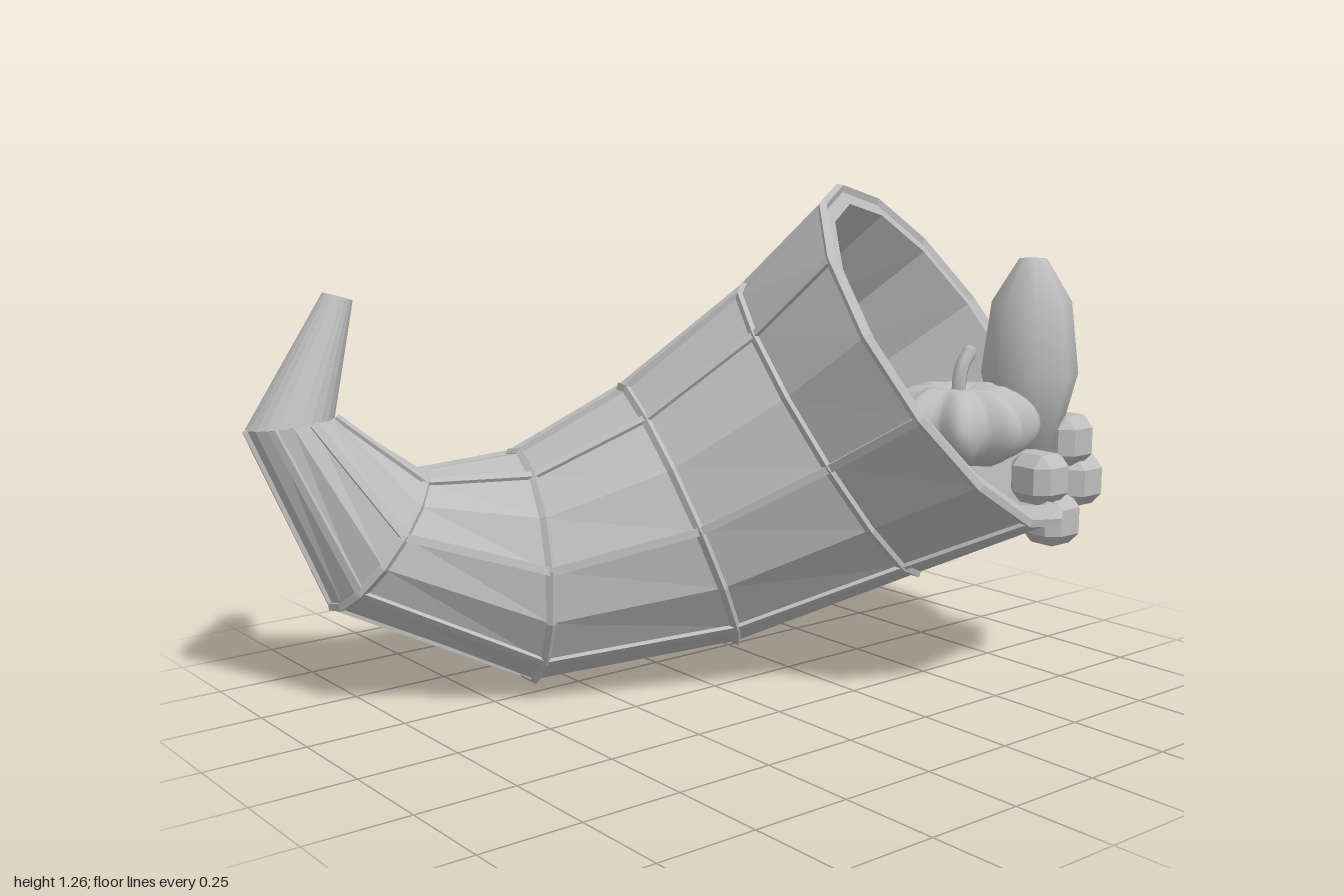
import * as THREE from 'three';
import { ConvexGeometry } from 'three/addons/geometries/ConvexGeometry.js';

const V = (x, y, z) => new THREE.Vector3(x, y, z);
const SIDES = 14;

// Ring frame: centre, axis towards the mouth, and a reference direction carried along the horn
function makeFrames(data) {
  let ref = V(0, 1, 0);
  return data.map(([c, n, r]) => {
    const axis = V(...n).normalize();
    const u = ref.clone().addScaledVector(axis, -ref.dot(axis)).normalize();
    ref = u;
    return { c: V(...c), n: axis, u, v: axis.clone().cross(u), r };
  });
}

const ringPoint = (f, r, j, sides, back = 0) => {
  const a = (j / sides) * Math.PI * 2;
  return f.c.clone().addScaledVector(f.n, -back)
    .addScaledVector(f.u, Math.cos(a) * r).addScaledVector(f.v, Math.sin(a) * r);
};

// Faceted skin through a list of [frame, radius, setback]
function loft(sections, sides = SIDES) {
  const pos = [];
  const put = (...pts) => pts.forEach(p => pos.push(p.x, p.y, p.z));
  for (let i = 0; i + 1 < sections.length; i++) {
    const [f, r, s = 0] = sections[i], [g, q, t = 0] = sections[i + 1];
    for (let j = 0; j < sides; j++) {
      const a = ringPoint(f, r, j, sides, s), b = ringPoint(f, r, j + 1, sides, s);
      const c = ringPoint(g, q, j, sides, t), d = ringPoint(g, q, j + 1, sides, t);
      if (r > 0) put(a, c, b);
      if (q > 0) put(c, d, b);
    }
  }
  const geo = new THREE.BufferGeometry();
  geo.setAttribute('position', new THREE.Float32BufferAttribute(pos, 3));
  geo.computeVertexNormals();
  return geo;
}

function flat(geo) {
  const g = geo.toNonIndexed();
  g.computeVertexNormals();
  return g;
}

export function createModel() {
  const model = new THREE.Group();
  model.name = 'hornOfPlenty';
  const grey = new THREE.MeshStandardMaterial({ color: 0xbdbdbd });
  grey.name = 'plain grey';
  const add = (name, geo, parent = model) => {
    const m = new THREE.Mesh(geo, grey);
    m.name = name;
    parent.add(m);
    return m;
  };

  // Horn rings from mouth to tip
  const F = makeFrames([
    [[0.53, 0.84, 0.28], [0.39, 0.58, 0.715], 0.516],
    [[0.37, 0.63, 0.02], [0.6, 0.54, 0.6], 0.45],
    [[0.037, 0.412, -0.2], [0.83, 0.38, 0.42], 0.377],
    [[-0.35, 0.305, -0.35], [0.95, 0, 0.31], 0.304],
    [[-0.7, 0.41, -0.45], [0.77, -0.6, 0.24], 0.21],
    [[-0.883, 0.705, -0.52], [0.08, -1, 0.08], 0.12],
    [[-0.75, 1.0, -0.515], [-0.3, -0.95, 0], 0.037],
  ]);
  const skin = f => f.r - 0.012;

  add('hornShell', loft(F.slice(0, 6).map(f => [f, skin(f)])));
  add('mouthRim', loft([[F[0], 0.455], [F[0], skin(F[0])]]));
  add('hornInside', loft([[F[2], 0], [F[2], 0.28], [F[1], 0.39], [F[0], 0.455]]));
  add('hornTip', loft([[F[5], 0], [F[5], 0.105], [F[6], 0.037], [F[6], 0]], 24));

  // Hoops around the horn
  const hoops = new THREE.Group();
  hoops.name = 'hoops';
  model.add(hoops);
  F.slice(0, 5).forEach(f => {
    const geo = flat(new THREE.TorusGeometry(skin(f), 0.013, 4, SIDES));
    geo.applyMatrix4(new THREE.Matrix4().makeBasis(f.u, f.v, f.n).setPosition(f.c));
    add('hoop', geo, hoops);
  });

  // Ribs along every second edge
  const ribs = new THREE.Group();
  ribs.name = 'ribs';
  model.add(ribs);
  for (let i = 0; i < 5; i++) {
    for (let j = 0; j < SIDES; j += 2) {
      const a = ringPoint(F[i], skin(F[i]), j, SIDES);
      const b = ringPoint(F[i + 1], skin(F[i + 1]), j, SIDES);
      const out = ringPoint(F[i], 1, j, SIDES).sub(F[i].c);
      const dir = b.clone().sub(a);
      const len = dir.length();
      dir.normalize();
      const side = dir.clone().cross(out).normalize();
      const geo = new THREE.BoxGeometry(0.02, 0.014, len);
      geo.applyMatrix4(new THREE.Matrix4().makeBasis(side, dir.clone().cross(side), dir)
        .setPosition(a.add(b).multiplyScalar(0.5)));
      add('rib', geo, ribs);
    }
  }

  // Pumpkin: sphere with eight lobes and dimpled poles
  const pumpkin = new THREE.Group();
  pumpkin.name = 'pumpkin';
  pumpkin.position.set(0.395, 0.697, 0.447);
  model.add(pumpkin);
  const body = new THREE.SphereGeometry(1, 64, 16);
  const p = body.attributes.position;
  for (let i = 0; i < p.count; i++) {
    const x = p.getX(i), y = p.getY(i), z = p.getZ(i);
    const r = Math.hypot(x, z);
    const lobe = 0.172 + 0.024 * Math.cos(8 * Math.atan2(z, x));
    const dimple = 1 - 0.35 * Math.max(0, 1 - r * 2);
    p.setXYZ(i, x * lobe, y * 0.108 * dimple, z * lobe);
  }
  body.computeVertexNormals();
  add('pumpkinBody', body, pumpkin);
  const stemPath = new THREE.CatmullRomCurve3([
    V(0, 0.05, 0), V(0, 0.11, 0), V(0.012, 0.145, 0), V(0.032, 0.17, 0)]);
  add('pumpkinStem', new THREE.TubeGeometry(stemPath, 8, 0.018, 6), pumpkin);
  const stemEnd = add('pumpkinStemEnd', new THREE.SphereGeometry(0.018, 6, 4), pumpkin);
  stemEnd.position.set(0.032, 0.17, 0);

  // Squash standing in the mouth
  const squash = add('squash', new THREE.LatheGeometry([
    [0, 0.6], [0.075, 0.605], [0.122, 0.79], [0.1, 0.97], [0.035, 1.078], [0, 1.08],
  ].map(([x, y]) => new THREE.Vector2(x, y)), 8));
  squash.position.set(0.7, 0, 0.405);

  // Grapes hanging over the rim: cubes with every edge and corner cut
  const grapes = new THREE.Group();
  grapes.name = 'grapes';
  model.add(grapes);
  const corners = [];
  for (const x of [-1, 1]) for (const y of [-1, 1]) for (const z of [-1, 1]) {
    for (let k = 0; k < 3; k++) {
      const s = [0.034, 0.034, 0.034];
      s[k] = 0.064;
      corners.push(V(x * s[0], y * s[1], z * s[2]));
    }
  }
  const grapeGeo = new ConvexGeometry(corners);
  [[0.79, 0.615], [0.7, 0.525], [0.835, 0.505], [0.75, 0.412]].forEach(([x, y]) => {
    add('grape', grapeGeo, grapes).position.set(x, y, 0.45);
  });

  return model;
}
